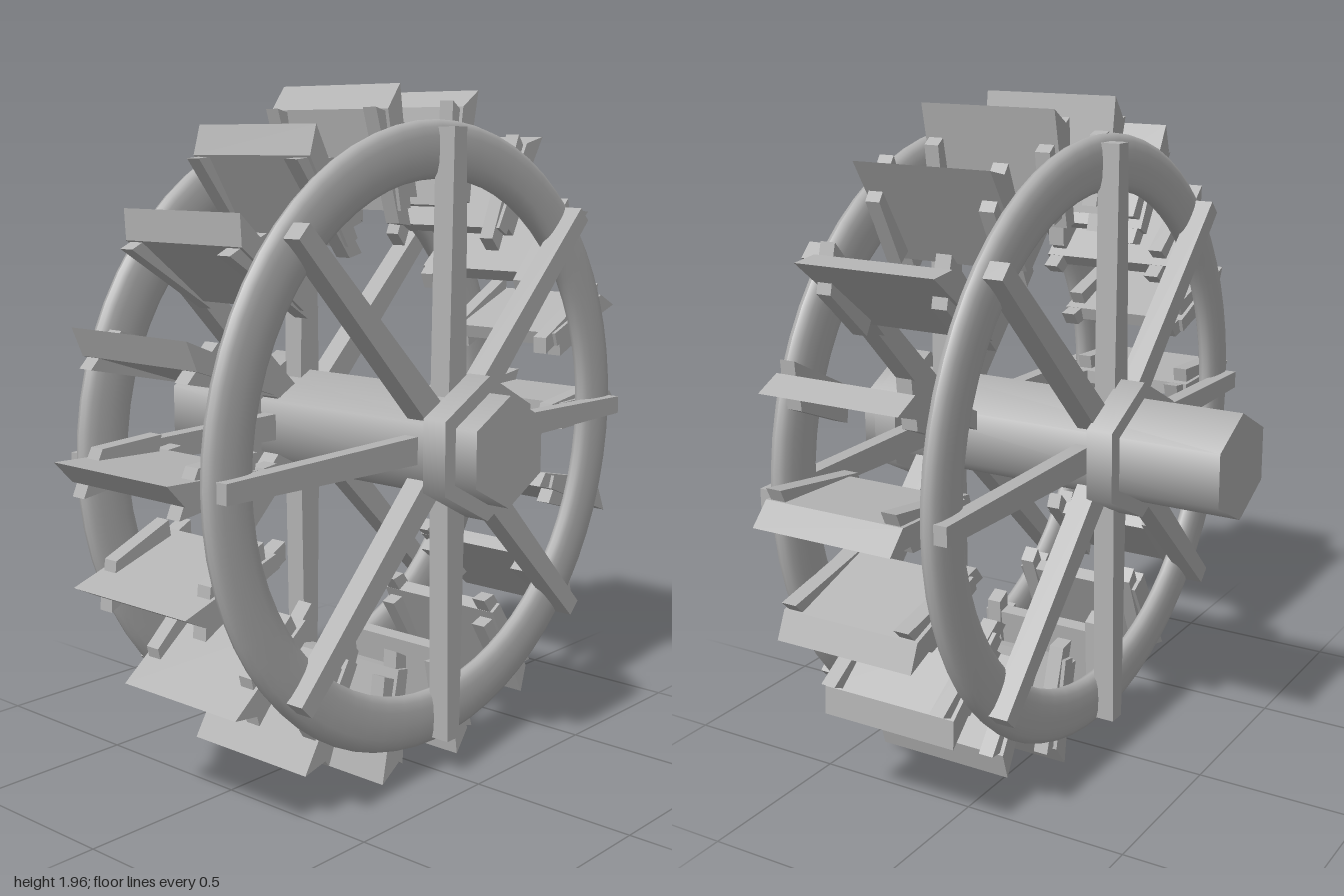
import * as THREE from 'three';

export function createModel() {
  const model = new THREE.Group();
  model.name = 'waterWheel';
  const wood = new THREE.MeshStandardMaterial({ color: 0xb3b3b3 });
  wood.name = 'greyWood';

  const wheel = new THREE.Group();
  wheel.name = 'wheel';
  wheel.position.set(0, 0.997, 0.005);
  model.add(wheel);

  function add(parent, geometry, name) {
    const mesh = new THREE.Mesh(geometry, wood);
    mesh.name = name;
    parent.add(mesh);
    return mesh;
  }

  // Six-sided prism lying along x, a corner pointing up
  function hexBar(radius, x0, x1) {
    return new THREE.CylinderGeometry(radius, radius, x1 - x0, 6)
      .rotateY(Math.PI / 2)
      .rotateZ(-Math.PI / 2)
      .scale(1, 1, 1.1)
      .translate((x0 + x1) / 2, 0, 0);
  }

  // Section of [tangent, radius] points, extruded along x
  function slab(points, x0, x1) {
    const shape = new THREE.Shape(points.map(([t, r]) => new THREE.Vector2(t, r)));
    return new THREE.ExtrudeGeometry(shape, { depth: x1 - x0, bevelEnabled: false })
      .rotateY(Math.PI / 2)
      .translate(x0, 0, 0);
  }

  // Axle and its two collars
  add(wheel, hexBar(0.156, -0.595, 0.59), 'axle');
  add(wheel, hexBar(0.203, -0.29, -0.21), 'rightCollar');
  add(wheel, hexBar(0.203, 0.445, 0.52), 'leftCollar');

  // Rims: flattened round section swept around the axle
  function rim(x) {
    const profile = [];
    const n = 16;
    for (let i = 0; i <= n; i++) {
      const a = (i / n) * Math.PI * 2;
      const c = Math.cos(a), s = Math.sin(a);
      profile.push(new THREE.Vector2(
        0.81 + 0.08 * Math.sign(c) * Math.abs(c) ** 0.8,
        0.029 * Math.sign(s) * Math.abs(s) ** 0.8
      ));
    }
    return new THREE.LatheGeometry(profile, 64).rotateZ(-Math.PI / 2).translate(x, 0, 0.005);
  }
  add(wheel, rim(-0.136), 'rightRim');
  add(wheel, rim(0.332), 'leftRim');

  // Eight tapered spokes on the outside of each rim
  const spokeSection = [[-0.04, 0.08], [0.04, 0.08], [0.027, 0.87], [-0.027, 0.87]];
  for (let i = 0; i < 8; i++) {
    const thin = i % 4 === 2 ? 0.02 : 0;
    const right = add(wheel, slab(spokeSection, -0.215 + thin, -0.15), 'rightSpoke');
    const left = add(wheel, slab(spokeSection, 0.345, 0.41 - thin), 'leftSpoke');
    right.rotation.x = left.rotation.x = -i * Math.PI / 4;
  }

  // Paddles: a slant-tipped board held by a pair of battens on each face
  const board = slab([[-0.022, 0.66], [0.02, 0.66], [0.03, 0.992], [-0.03, 0.935]], -0.112, 0.315);
  const battenSections = [
    [[-0.022, 0.625], [0.025, 0.61], [-0.01, 0.92], [-0.065, 0.945]],
    [[0.015, 0.69], [0.065, 0.68], [0.055, 0.88], [0.015, 0.9]]
  ];
  const battens = [];
  for (const section of battenSections) {
    for (const x of [-0.1, 0.258]) battens.push(slab(section, x, x + 0.046));
  }
  for (let i = 0; i < 18; i++) {
    const paddle = new THREE.Group();
    paddle.name = 'paddle';
    paddle.rotation.x = -(i * 20 + 10) * Math.PI / 180;
    add(paddle, board, 'paddleBoard');
    for (const batten of battens) add(paddle, batten, 'paddleBatten');
    wheel.add(paddle);
  }

  return model;
}
